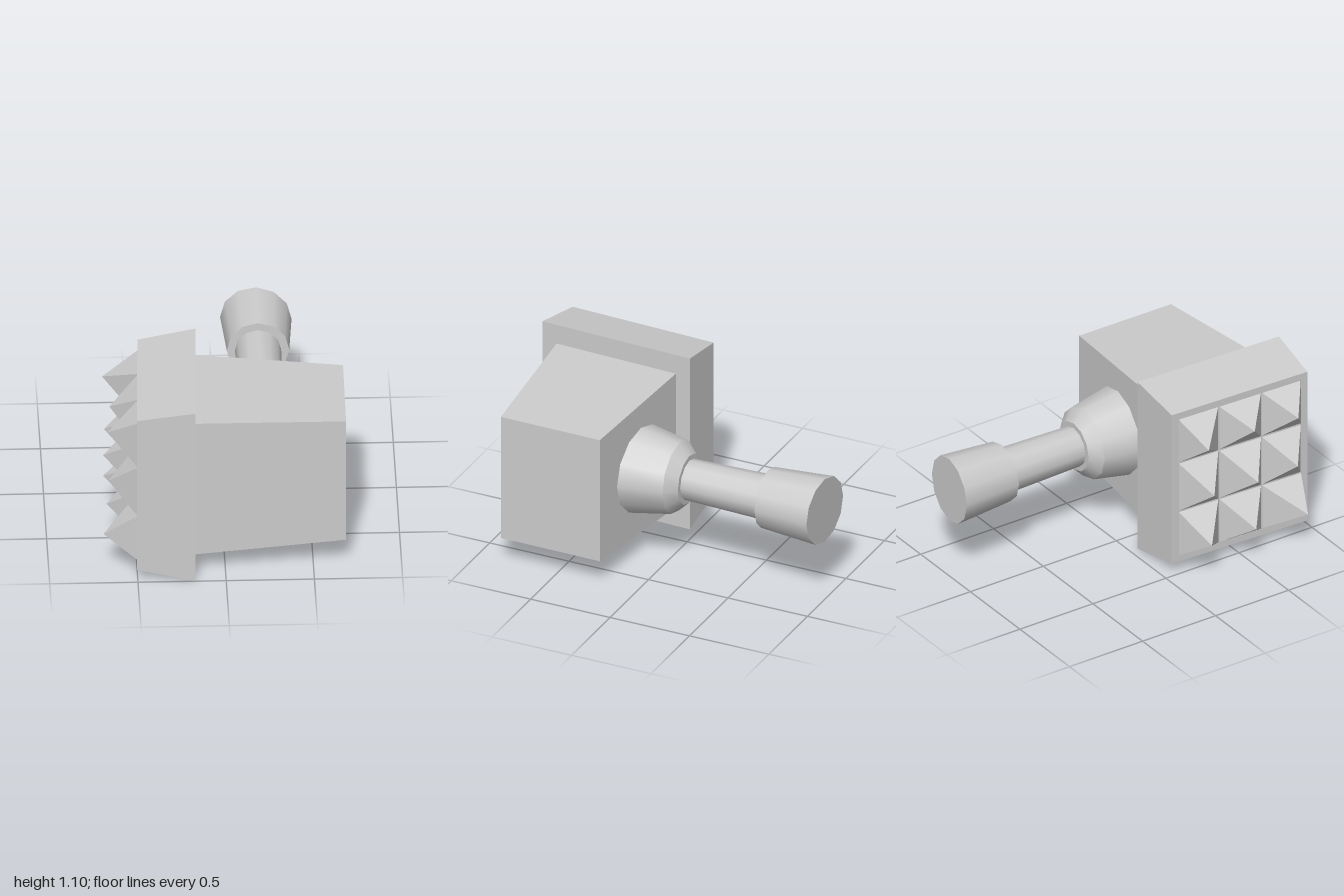
import * as THREE from 'three';
import { ConvexGeometry } from 'three/addons/geometries/ConvexGeometry.js';

const smooth = new THREE.MeshStandardMaterial({ color: 0xcccccc });
const flat = new THREE.MeshStandardMaterial({ color: 0xcccccc, flatShading: true });

// Four corners of an upright, slightly turned rectangle: back and front edge as [x, z]
function rect([xb, zb], [xf, zf], y0, y1) {
  return [
    new THREE.Vector3(xb, y0, zb), new THREE.Vector3(xb, y1, zb),
    new THREE.Vector3(xf, y0, zf), new THREE.Vector3(xf, y1, zf),
  ];
}

export function createModel() {
  const model = new THREE.Group();

  function solid(name, points, parent = model) {
    const mesh = new THREE.Mesh(new ConvexGeometry(points), flat);
    mesh.name = name;
    parent.add(mesh);
  }

  // Tapered hammer head
  solid('head', [
    ...rect([-0.145, 0.14], [-0.175, 0.905], 0.12, 0.98),
    ...rect([0.69, 0.215], [0.685, 0.84], 0.16, 0.94),
  ]);

  // Wide striking plate
  solid('strikingPlate', [
    ...rect([-0.14, 0.05], [-0.175, 0.995], 0, 1.1),
    ...rect([-0.47, 0.06], [-0.505, 0.965], 0.06, 1.04),
  ]);

  // Three by three spikes with slightly uneven tips, [x, z] per row from the bottom
  const spikes = new THREE.Group();
  spikes.name = 'spikes';
  model.add(spikes);
  const ys = [0.1, 0.39, 0.71, 1.0];
  const zs = [0.105, 0.375, 0.66, 0.925];
  const tipY = [0.23, 0.55, 0.87];
  const tips = [
    [[-0.67, 0.2], [-0.66, 0.51], [-0.69, 0.845]],
    [[-0.665, 0.22], [-0.68, 0.51], [-0.66, 0.795]],
    [[-0.675, 0.175], [-0.645, 0.51], [-0.665, 0.795]],
  ];
  const faceX = (z) => -0.465 - 0.0387 * (z - 0.06);
  tips.forEach((row, r) => row.forEach(([x, z], c) => {
    const [zb, zf] = [zs[c], zs[c + 1]];
    solid('spike', [
      ...rect([faceX(zb), zb], [faceX(zf), zf], ys[r], ys[r + 1]),
      new THREE.Vector3(x, tipY[r], z),
    ], spikes);
  }));

  // Handle pieces run along z: from z0 (inner) to z1 (outer)
  const handle = new THREE.Group();
  handle.name = 'handle';
  handle.position.set(0.238, 0.55, 0);
  model.add(handle);
  function frustum(name, z0, r0, z1, r1, tilt = 0) {
    const geo = new THREE.CylinderGeometry(r1, r0, z0 - z1, 12);
    geo.rotateX(-Math.PI / 2);
    geo.translate(0, 0, (z0 + z1) / 2);
    // Slant the outer end
    const p = geo.attributes.position;
    for (let i = 0; i < p.count; i++) {
      if (p.getZ(i) < z1 + 0.001) p.setZ(i, z1 + tilt * p.getX(i));
    }
    const mesh = new THREE.Mesh(geo, smooth);
    mesh.name = name;
    handle.add(mesh);
  }
  frustum('socket', 0.25, 0.273, -0.065, 0.216);
  frustum('socketBevel', -0.065, 0.216, -0.13, 0.15);
  frustum('shaft', -0.1, 0.119, -0.65, 0.132);
  frustum('grip', -0.625, 0.177, -0.982, 0.202, 0.088);

  return model;
}
